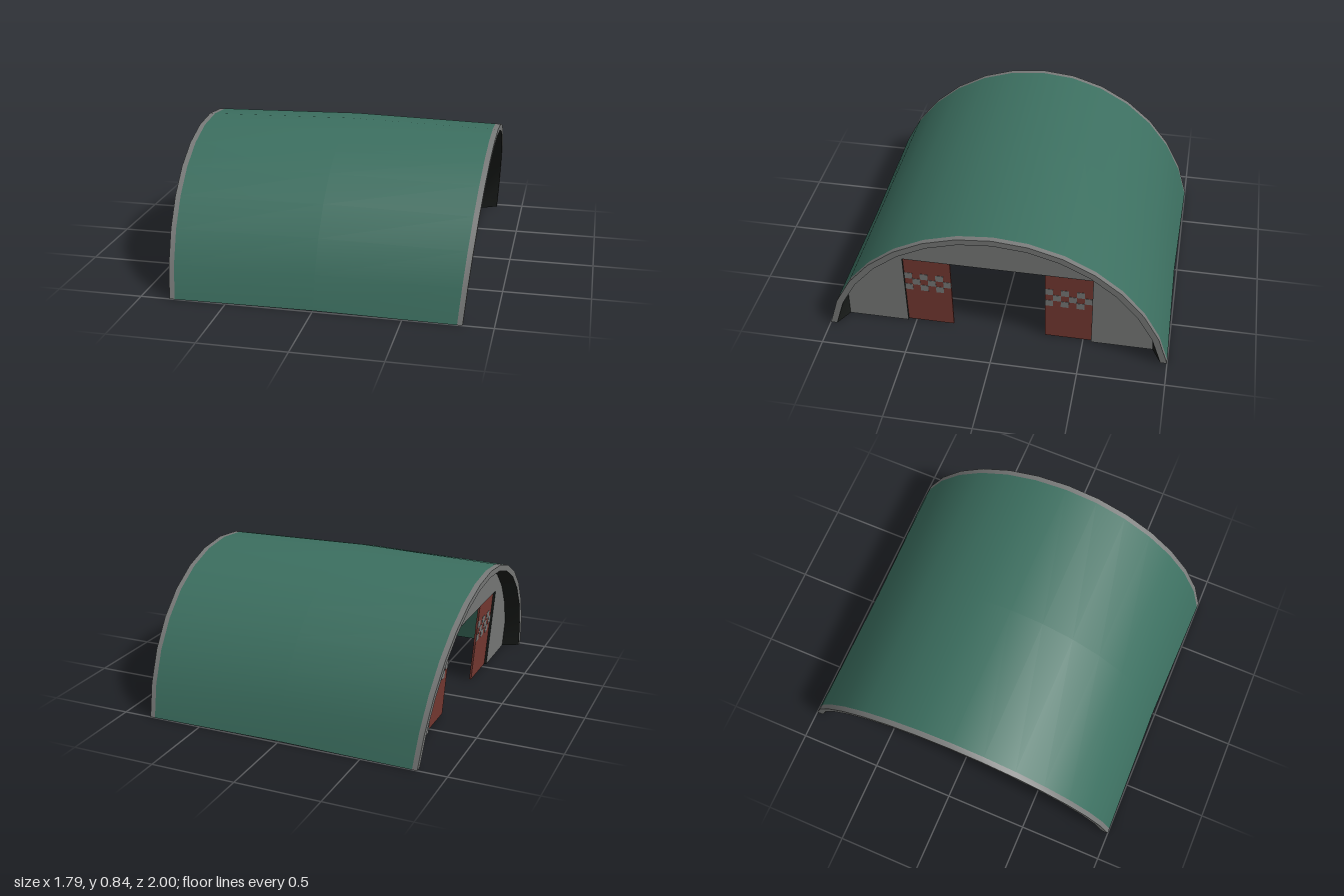
import * as THREE from 'three';

const mat = (name, color, side = THREE.FrontSide) => {
  const m = new THREE.MeshStandardMaterial({ color, side });
  m.name = name;
  return m;
};
const END = 0.83;    // half length at ground level
const RIM = 0.8;     // where the rim trim starts
const WALL = 0.69;   // inner face of the end walls
const THICK = 0.04;  // end wall thickness
const LEAN = 0.08;   // outward lean of both ends
const SEG = 14;      // facets around the arch

// Arch points [z, y] for half length a, inset by d, running from +z to -z;
// toe pulls the two ground points further inwards
function arch(a, d, toe = 0) {
  const k = Math.abs(a) / END;
  const w = 0.985 + 0.015 * k - d, h = 0.84 - 0.02 * k - d;
  const c = (h * h - w * w) / (2 * h), r = h - c;
  const half = Math.atan2(w, -c);
  const pts = Array.from({ length: SEG + 1 }, (_, i) => {
    const t = half * (1 - 2 * i / SEG);
    return [r * Math.sin(t), Math.max(0, c + r * Math.cos(t))];
  });
  pts[0][0] -= toe;
  pts[SEG][0] += toe;
  return pts;
}

// Surface through a list of arches, each given as [a, inset, toe]
function loft(sections) {
  const pos = [], idx = [], n = SEG + 1;
  for (const [a, d, toe] of sections)
    for (const [z, y] of arch(a, d, toe)) pos.push(a + LEAN * y * a / END, y, z);
  for (let j = 0; j < sections.length - 1; j++)
    for (let i = 0; i < SEG; i++) {
      const p = j * n + i, q = p + n;
      idx.push(p, q, q + 1, p, q + 1, p + 1);
    }
  const g = new THREE.BufferGeometry();
  g.setAttribute('position', new THREE.Float32BufferAttribute(pos, 3));
  g.setIndex(idx);
  g.computeVertexNormals();
  return g;
}

// Turn upright local geometry to face +x, then lean it with the end wall
function place(g, x) {
  g.rotateY(Math.PI / 2);
  const p = g.attributes.position;
  for (let i = 0; i < p.count; i++) p.setX(i, p.getX(i) + x + LEAN * p.getY(i));
  g.computeVertexNormals();
  return g;
}

export function createModel() {
  const green = mat('roof green', 0x3c6f60, THREE.DoubleSide);
  const grey = mat('concrete grey', 0x787a79, THREE.DoubleSide);
  const red = mat('door red', 0x763932);
  const dark = mat('lining black', 0x1b1e1c, THREE.DoubleSide);

  const model = new THREE.Group();
  model.name = 'archedHangar';
  const add = (parent, name, g, m) => {
    const mesh = new THREE.Mesh(g, m);
    mesh.name = name;
    parent.add(mesh);
  };
  const box = (w, h, d, x, y, z) => new THREE.BoxGeometry(w, h, d).translate(x, y, z);

  // Roof skin, outside and inside
  add(model, 'outerRoof', loft([[-RIM, 0], [0, 0], [RIM, 0]]), green);
  add(model, 'innerRoof', loft([[WALL, 0.045], [0, 0.045], [-WALL, 0.045]]), green);

  for (const s of [1, -1]) {
    const end = new THREE.Group();
    end.name = s > 0 ? 'leftEnd' : 'rightEnd';
    if (s < 0) end.rotation.y = Math.PI;
    model.add(end);

    // Rim trim and the dark lining of the recess, toed in at the ground
    add(end, 'rimBand', loft([[RIM, 0], [END, 0]]), grey);
    add(end, 'rimFace', loft([[END, 0], [END, 0.038]]), grey);
    add(end, 'recessLining', loft([[END, 0.038], [WALL + THICK, 0.04, 0.05]]), dark);

    // End wall: two sheets with a wide doorway
    const shape = new THREE.Shape();
    arch(WALL, 0.041).forEach(([z, y], i) => (i ? shape.lineTo(-z, y) : shape.moveTo(-z, y)));
    shape.lineTo(0.55, 0);
    shape.lineTo(0.55, 0.51);
    shape.lineTo(-0.55, 0.51);
    shape.lineTo(-0.55, 0);
    for (const [name, x] of [['wallInside', WALL], ['wallOutside', WALL + THICK]])
      add(end, name, place(new THREE.ShapeGeometry(shape), x), grey);

    // Dark doorway reveal
    const mid = WALL + THICK / 2;
    add(end, 'lintel', place(box(1.1, 0.001, THICK, 0, 0.5095, 0), mid), dark);
    for (const k of [1, -1])
      add(end, 'jamb', place(box(0.001, 0.51, THICK, k * 0.5495, 0.255, 0), mid), dark);

    // Two half-open sliding doors with a chequered band
    for (const left of [-0.549, 0.274]) {
      const door = new THREE.Group();
      door.name = 'slidingDoor';
      end.add(door);
      add(door, 'doorPanel', place(box(0.275, 0.509, 0.012, left + 0.1375, 0.2545, 0), mid), red);
      const cw = 0.275 / 6, ch = 0.045;
      for (let row = 0; row < 3; row++)
        for (let col = row % 2; col < 6; col += 2) {
          const x = left + (col + 0.5) * cw, y = 0.39 - (row + 0.5) * ch;
          for (const f of [1, -1])
            add(door, 'chequer', place(box(cw, ch, 0.002, x, y, f * 0.007), mid), grey);
        }
    }
  }
  return model;
}
